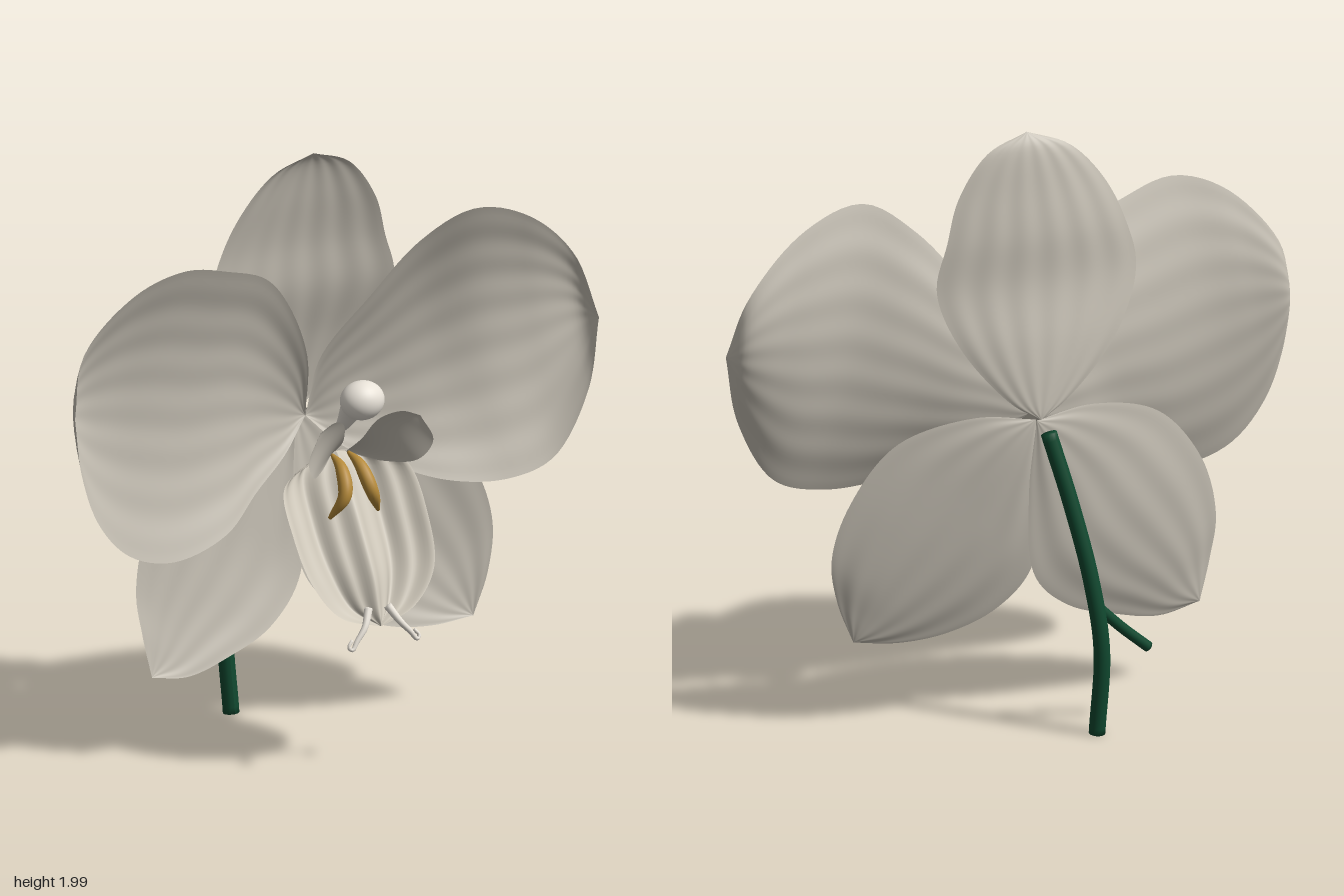
import * as THREE from 'three';

const CX = -0.015; // centre line of the flower's middle parts
const COLORS = { petal: 0xc6c0b4, lip: 0xcfc8ba, cream: 0xe8e2d8, gold: 0xb58a3a, stem: 0x10482f };

const mat = (color) => new THREE.MeshStandardMaterial({ color, side: THREE.DoubleSide });
const curve = (pts) => new THREE.CatmullRomCurve3(pts.map((p) => new THREE.Vector3(...p)));
const mirror = (pts) => pts.map(([x, y, z]) => [2 * CX - x, y, z]);

// Sheet stretched between two edge curves that share a base and a tip.
// bulge pushes its middle along z, fold makes a W-shaped section, ripple adds fine pleats.
function sheet(name, edgeA, edgeB, color, { bulge = 0, fold = 0, ripple = 0, pleats = 6 } = {}) {
  const U = 48, V = 56, pos = [], idx = [];
  const a = curve(edgeA), b = curve(edgeB);
  for (let i = 0; i <= U; i++) {
    const u = i / U, A = a.getPointAt(u), B = b.getPointAt(u);
    const along = Math.pow(Math.max(0, Math.sin(Math.PI * u)), 0.75);
    for (let j = 0; j <= V; j++) {
      const v = j / V, w = 2 * v - 1, p = A.clone().lerp(B, v);
      p.z += along * (bulge * (1 - w * w) + fold * Math.cos(2 * w * Math.PI)
        + ripple * Math.cos(w * pleats * Math.PI));
      pos.push(p.x, p.y, p.z);
      if (i < U && j < V) {
        const k = i * (V + 1) + j, n = k + V + 1;
        idx.push(k, k + 1, n, k + 1, n + 1, n);
      }
    }
  }
  const g = new THREE.BufferGeometry();
  g.setAttribute('position', new THREE.Float32BufferAttribute(pos, 3));
  g.setIndex(idx);
  g.computeVertexNormals();
  const mesh = new THREE.Mesh(g, mat(color));
  mesh.name = name;
  return mesh;
}

// Tube whose radius follows a rule; its first and last rings close into flat ends.
function taperedTube(name, pts, radius, color, segs = 32, sides = 16) {
  const path = curve(pts), g = new THREE.TubeGeometry(path, segs, 1, sides);
  const p = g.attributes.position, v = new THREE.Vector3();
  for (let i = 0; i <= segs; i++) {
    const t = THREE.MathUtils.clamp((i - 1) / (segs - 2), 0, 1);
    const from = path.getPointAt(i / segs), to = path.getPointAt(t);
    const r = i === 0 || i === segs ? 0 : radius(t);
    for (let j = 0; j <= sides; j++) {
      const k = i * (sides + 1) + j;
      v.fromBufferAttribute(p, k).sub(from).multiplyScalar(r).add(to);
      p.setXYZ(k, v.x, v.y, v.z);
    }
  }
  g.computeVertexNormals();
  const mesh = new THREE.Mesh(g, mat(color));
  mesh.name = name;
  return mesh;
}

export function createModel() {
  const flower = new THREE.Group();
  flower.name = 'orchid';

  // Two broad cupped side petals: upper edge, then lower edge
  const petalStyle = { bulge: -0.1, ripple: 0.0015, pleats: 7 };
  flower.add(
    sheet('leftPetal',
      [[0, 1.06, -0.15], [0.02, 1.28, -0.08], [0.17, 1.48, -0.02], [0.32, 1.66, 0.04], [0.48, 1.76, 0.1],
        [0.69, 1.7, 0.08], [0.9, 1.51, 0.03], [0.965, 1.3, 0.07]],
      [[0, 1.06, -0.15], [0.1, 0.96, -0.1], [0.24, 0.89, -0.04], [0.43, 0.82, 0.03], [0.64, 0.8, 0.06],
        [0.8, 0.85, 0.07], [0.92, 1.06, 0.08], [0.965, 1.3, 0.07]],
      COLORS.petal, petalStyle),
    sheet('rightPetal',
      [[0, 1.06, -0.15], [-0.03, 1.28, -0.08], [-0.12, 1.48, -0.03], [-0.23, 1.61, 0.01], [-0.4, 1.68, 0.06],
        [-0.58, 1.72, 0.09], [-0.75, 1.66, 0.07], [-0.92, 1.47, 0.03], [-0.97, 1.27, 0.06]],
      [[0, 1.06, -0.15], [-0.1, 0.96, -0.1], [-0.24, 0.87, -0.04], [-0.39, 0.77, 0.03], [-0.6, 0.72, 0.06],
        [-0.77, 0.77, 0.07], [-0.89, 0.9, 0.08], [-0.955, 1.08, 0.08], [-0.97, 1.27, 0.06]],
      COLORS.petal, petalStyle),

    // Upper sepal
    sheet('upperSepal',
      [[CX, 1.06, -0.22], [-0.12, 1.12, -0.2], [-0.3, 1.3, -0.15], [-0.385, 1.5, -0.1], [-0.35, 1.67, -0.09],
        [-0.28, 1.82, -0.07], [-0.17, 1.94, -0.055], [-0.03, 1.995, -0.04]],
      [[CX, 1.06, -0.22], [0.08, 1.12, -0.2], [0.24, 1.32, -0.15], [0.3, 1.5, -0.1], [0.26, 1.66, -0.09],
        [0.215, 1.8, -0.07], [0.11, 1.94, -0.055], [-0.03, 1.995, -0.04]],
      COLORS.petal, { bulge: -0.04, ripple: 0.002 }),

    // Two lower sepals: outer edge, then inner edge
    sheet('leftSepal',
      [[0, 1.06, -0.21], [0.2, 1.08, -0.18], [0.45, 1, -0.13], [0.6, 0.8, -0.1], [0.655, 0.61, -0.08],
        [0.63, 0.45, -0.065], [0.575, 0.305, -0.065]],
      [[0, 1.06, -0.21], [-0.02, 0.8, -0.19], [0, 0.52, -0.16], [0.11, 0.385, -0.13], [0.27, 0.31, -0.1],
        [0.43, 0.29, -0.08], [0.575, 0.305, -0.065]],
      COLORS.petal, { bulge: -0.04, ripple: 0.002, pleats: 5 }),
    sheet('rightSepal',
      [[0, 1.06, -0.22], [-0.2, 1.08, -0.19], [-0.45, 1, -0.13], [-0.61, 0.8, -0.1], [-0.665, 0.59, -0.08],
        [-0.65, 0.44, -0.065], [-0.615, 0.29, -0.065]],
      [[0, 1.06, -0.22], [0.02, 0.8, -0.2], [-0.01, 0.5, -0.17], [-0.14, 0.365, -0.13], [-0.31, 0.3, -0.1],
        [-0.47, 0.265, -0.08], [-0.615, 0.29, -0.065]],
      COLORS.petal, { bulge: -0.04, ripple: 0.002, pleats: 5 }),

    // Pleated lip with a forward ridge and forward rims
    sheet('lip',
      [[CX, 1.01, 0.08], [-0.12, 0.99, 0.08], [-0.245, 0.94, 0.11], [-0.265, 0.8, 0.2], [-0.24, 0.66, 0.285],
        [-0.16, 0.55, 0.34], [CX, 0.5, 0.38]],
      [[CX, 1.01, 0.08], [0.09, 1, 0.08], [0.21, 0.96, 0.1], [0.235, 0.79, 0.2], [0.21, 0.65, 0.285],
        [0.12, 0.55, 0.34], [CX, 0.5, 0.38]],
      COLORS.lip, { fold: 0.04, ripple: 0.01, pleats: 6 }),
  );

  // Paired parts around the lip
  const lobeInner = [[0.01, 1.01, 0.1], [0.02, 1.08, 0.19], [0.05, 1.16, 0.25], [0.11, 1.19, 0.295], [0.17, 1.17, 0.31]];
  const lobeOuter = [[0.01, 1.01, 0.1], [0.1, 0.99, 0.19], [0.18, 1.01, 0.28], [0.215, 1.08, 0.315], [0.17, 1.17, 0.31]];
  const callus = [[0.015, 1.01, 0.11], [0.02, 0.985, 0.18], [0.035, 0.91, 0.23], [0.075, 0.83, 0.2]];
  const tendril = [[0.02, 0.56, 0.36], [0.05, 0.51, 0.39], [0.085, 0.47, 0.4], [0.105, 0.445, 0.405],
    [0.115, 0.455, 0.4], [0.1, 0.475, 0.395]];
  for (const [side, place] of [['left', (p) => p], ['right', mirror]]) {
    flower.add(
      sheet(side + 'LipLobe', place(lobeInner), place(lobeOuter), COLORS.petal, { bulge: -0.02 }),
      taperedTube(side + 'Callus', place(callus), (t) => 0.006 + 0.018 * Math.sin(Math.PI * t), COLORS.gold),
      taperedTube(side + 'Tendril', place(tendril), (t) => 0.014 * (1 - 0.6 * t), COLORS.cream, 32, 10),
    );
  }

  // Column with its rounded cap
  const cap = new THREE.Mesh(new THREE.SphereGeometry(1, 32, 20), mat(COLORS.cream));
  cap.name = 'columnCap';
  cap.scale.set(0.075, 0.065, 0.065);
  cap.position.set(CX, 1.236, 0.255);
  flower.add(cap, taperedTube('column',
    [[CX, 1.085, 0.095], [CX, 1.13, 0.14], [CX, 1.19, 0.19], [CX, 1.24, 0.25]],
    (t) => 0.014 + 0.04 * t, COLORS.cream));

  // Stem and its short side shoot
  flower.add(
    taperedTube('stem',
      [[-0.02, 1.035, -0.28], [-0.08, 0.8, -0.325], [-0.135, 0.54, -0.365], [-0.165, 0.3, -0.383], [-0.155, 0.005, -0.365]],
      () => 0.027, COLORS.stem, 48),
    taperedTube('sideShoot', [[-0.17, 0.43, -0.355], [-0.25, 0.35, -0.34], [-0.345, 0.265, -0.325]],
      () => 0.018, COLORS.stem),
  );
  return flower;
}
